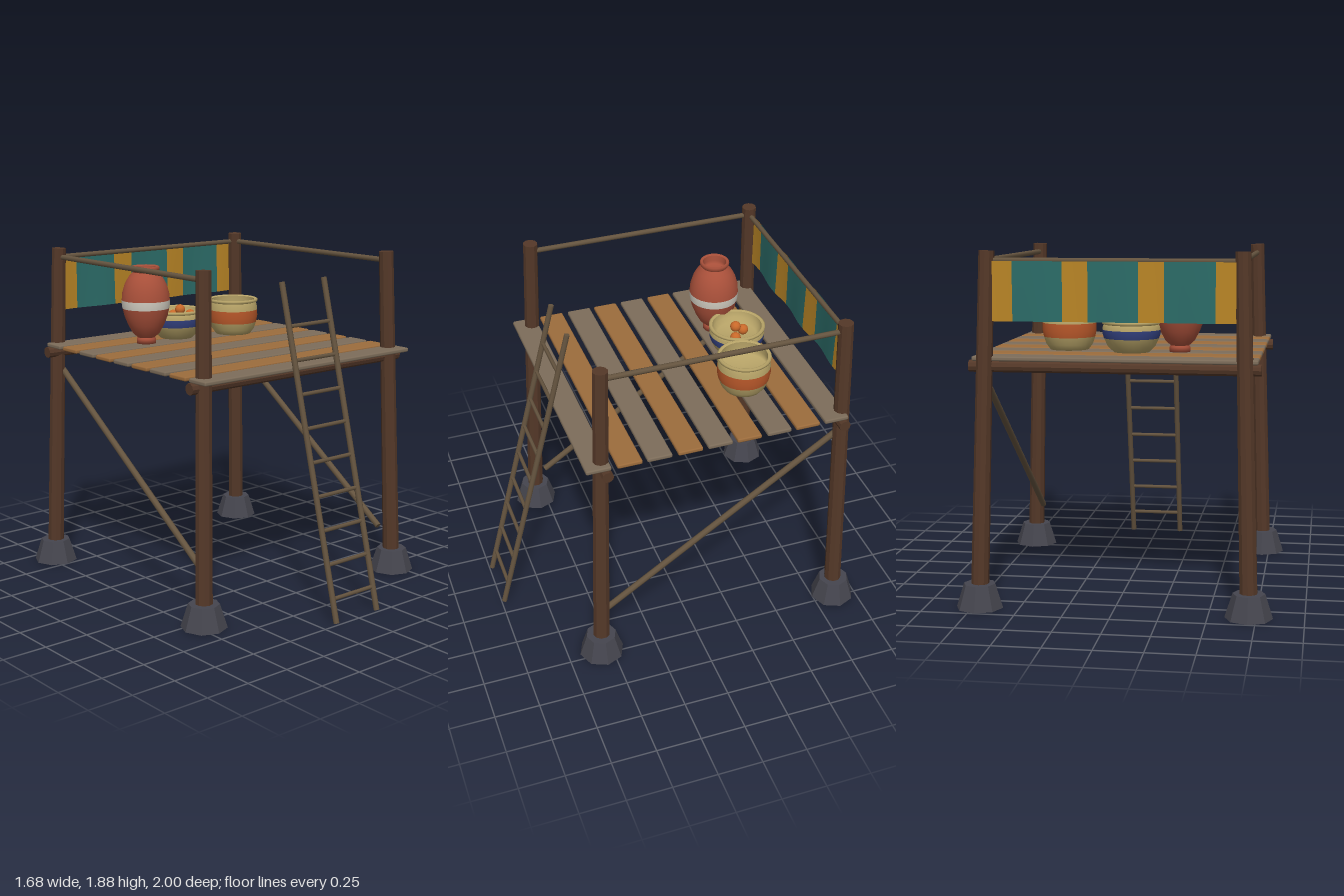
import * as THREE from 'three';
import { RoundedBoxGeometry } from 'three/addons/geometries/RoundedBoxGeometry.js';

const mat = (color, opts = {}) => {
  const m = new THREE.MeshStandardMaterial({ color });
  return Object.assign(m, opts);
};
const timber = mat(0x543828, { flatShading: true });
const pole = mat(0x65543f);
const stone = mat(0x45454e, { flatShading: true });
const greyPlank = mat(0x7d6d5a);
const warmPlank = mat(0x9c6c3c);
const TERRACOTTA = 0xa9503a, TAN = 0xb8a468, WHITE = 0xd0cbbf, BLUE = 0x32407e, ORANGE = 0xb9582a;

export function createModel() {
  const model = new THREE.Group();

  const add = (parent, name, geometry, material, x = 0, y = 0, z = 0) => {
    const mesh = new THREE.Mesh(geometry, material);
    mesh.name = name;
    mesh.position.set(x, y, z);
    parent.add(mesh);
    return mesh;
  };

  // Round bar between two points
  const bar = (parent, name, from, to, r0, r1, material, sides = 8) => {
    const a = new THREE.Vector3(...from), b = new THREE.Vector3(...to);
    const dir = b.clone().sub(a);
    const mesh = add(parent, name, new THREE.CylinderGeometry(r1, r0, dir.length(), sides), material);
    mesh.position.copy(a).add(b).multiplyScalar(0.5);
    mesh.quaternion.setFromUnitVectors(new THREE.Vector3(0, 1, 0), dir.normalize());
    return mesh;
  };

  // Leaning posts on stone feet, side rails and diagonal braces
  for (const s of [-1, 1]) {
    const side = s > 0 ? 'left' : 'right';
    for (const [end, z0, z1] of [['Front', 0.557, 0.505], ['Back', -0.872, -0.82]]) {
      add(model, side + end + 'Foot', new THREE.CylinderGeometry(0.085, 0.126, 0.13, 8), stone, s * 0.712, 0.065, z0);
      bar(model, side + end + 'Post', [s * 0.712, 0.03, z0], [s * 0.66, 1.88, z1], 0.048, 0.041, timber, 10);
    }
    bar(model, side + 'TopRail', [s * 0.66, 1.83, 0.505], [s * 0.66, 1.83, -0.82], 0.015, 0.015, pole);
    bar(model, side + 'Brace', [s * 0.655, 0.26, 0.5], [s * 0.655, 1.17, -0.82], 0.018, 0.018, pole);
  }
  bar(model, 'backTopRail', [-0.66, 1.83, -0.822], [0.66, 1.83, -0.822], 0.014, 0.014, pole);

  // Cross beams under the deck
  bar(model, 'frontBeam', [-0.76, 1.282, 0.507], [0.76, 1.282, 0.507], 0.032, 0.032, timber, 10);
  bar(model, 'backBeam', [-0.76, 1.282, -0.822], [0.76, 1.282, -0.822], 0.032, 0.032, timber, 10);

  // Deck planks in alternating wood
  const deck = new THREE.Group();
  deck.name = 'deck';
  model.add(deck);
  for (let i = 0; i < 9; i++) {
    const plank = add(deck, 'plank' + (i + 1), new RoundedBoxGeometry(1.49, 0.025, 0.138, 1, 0.009),
      i % 2 ? warmPlank : greyPlank, 0, 1.322, 0.55 - i * 0.1662);
    plank.rotation.y = Math.sin(i * 2.3) * 0.003;
  }

  // Ladder leaning on the front edge
  const ladder = new THREE.Group();
  ladder.name = 'ladder';
  model.add(ladder);
  const ladderZ = y => 0.983 - (y / 1.78) * 0.453;
  for (const s of [-1, 1]) {
    bar(ladder, 'ladderRail', [s * 0.152, 0.004, ladderZ(0)], [s * 0.152, 1.78, ladderZ(1.78)], 0.016, 0.016, pole);
  }
  for (let i = 0; i < 9; i++) {
    const y = 0.13 + i * 0.1775;
    bar(ladder, 'rung', [-0.152, y, ladderZ(y)], [0.152, y, ladderZ(y)], 0.011, 0.011, pole, 6);
  }

  // Striped cloth banner with a gentle ripple
  const banner = new THREE.Group();
  banner.name = 'banner';
  model.add(banner);
  const gold = mat(0xb98526, { side: THREE.DoubleSide });
  const teal = mat(0x2c6c68, { side: THREE.DoubleSide });
  const edges = [-0.63, -0.525, -0.262, -0.131, 0.131, 0.262, 0.525, 0.63];
  for (let i = 0; i < 7; i++) {
    const w = edges[i + 1] - edges[i], cx = (edges[i] + edges[i + 1]) / 2;
    const g = new THREE.PlaneGeometry(w, 0.31, 8, 4).translate(cx, 1.672, -0.842);
    const p = g.attributes.position;
    for (let k = 0; k < p.count; k++) {
      const drop = (1.827 - p.getY(k)) / 0.31;
      p.setZ(k, p.getZ(k) + 0.008 * Math.sin(p.getX(k) * 15) * (0.4 + 0.6 * drop));
    }
    g.computeVertexNormals();
    add(banner, 'stripe', g, i % 2 ? teal : gold);
  }

  // Turned pot made of coloured bands, each a list of [radius, height]
  const pot = (name, x, z, bands) => {
    const group = new THREE.Group();
    group.name = name;
    group.position.set(x, 1.335, z);
    model.add(group);
    for (const [label, color, pts] of bands) {
      const profile = pts.map(([r, y]) => new THREE.Vector2(r, y));
      add(group, label, new THREE.LatheGeometry(profile, 28), mat(color, { side: THREE.DoubleSide }));
    }
    return group;
  };

  pot('tallJar', -0.305, -0.47, [
    ['foot', TERRACOTTA, [[0, 0], [0.056, 0], [0.056, 0.025], [0.05, 0.035]]],
    ['lowerBody', TERRACOTTA, [[0.05, 0.035], [0.078, 0.06], [0.105, 0.11], [0.125, 0.16], [0.135, 0.205]]],
    ['whiteBand', WHITE, [[0.136, 0.205], [0.139, 0.228], [0.139, 0.252]]],
    ['upperBody', TERRACOTTA, [[0.139, 0.252], [0.135, 0.295], [0.12, 0.345], [0.098, 0.385], [0.073, 0.413]]],
    ['rim', TERRACOTTA, [[0.073, 0.413], [0.081, 0.425], [0.083, 0.44], [0.076, 0.447], [0.066, 0.44]]],
    ['inside', TERRACOTTA, [[0.066, 0.44], [0.062, 0.41], [0.06, 0.39], [0, 0.388]]],
  ]);

  const bowl = pot('fruitBowl', -0.05, -0.515, [
    ['lowerBody', TAN, [[0, 0], [0.095, 0], [0.128, 0.032], [0.148, 0.075]]],
    ['blueBand', BLUE, [[0.148, 0.075], [0.155, 0.098], [0.156, 0.12]]],
    ['upperBody', TAN, [[0.156, 0.12], [0.154, 0.138], [0.149, 0.148]]],
    ['rim', TAN, [[0.149, 0.148], [0.158, 0.152], [0.159, 0.164], [0.15, 0.169], [0.139, 0.163]]],
    ['inside', TAN, [[0.139, 0.163], [0.133, 0.13], [0.11, 0.108], [0, 0.1]]],
  ]);
  const fruit = mat(0xc8692a);
  for (const [x, y, z] of [[0.005, 0.128, -0.035], [0.017, 0.165, 0.016], [0.075, 0.132, 0.038]]) {
    add(bowl, 'fruit', new THREE.SphereGeometry(0.03, 16, 12), fruit, x, y, z);
  }

  pot('widePot', 0.305, -0.415, [
    ['lowerBody', TAN, [[0, 0], [0.105, 0], [0.127, 0.03], [0.14, 0.07]]],
    ['orangeBand', ORANGE, [[0.14, 0.07], [0.147, 0.105], [0.146, 0.145]]],
    ['upperBody', TAN, [[0.146, 0.145], [0.143, 0.172], [0.137, 0.19]]],
    ['rim', TAN, [[0.137, 0.19], [0.147, 0.194], [0.148, 0.206], [0.14, 0.211], [0.128, 0.205]]],
    ['inside', TAN, [[0.128, 0.205], [0.131, 0.165], [0.128, 0.13], [0, 0.125]]],
  ]);

  return model;
}
